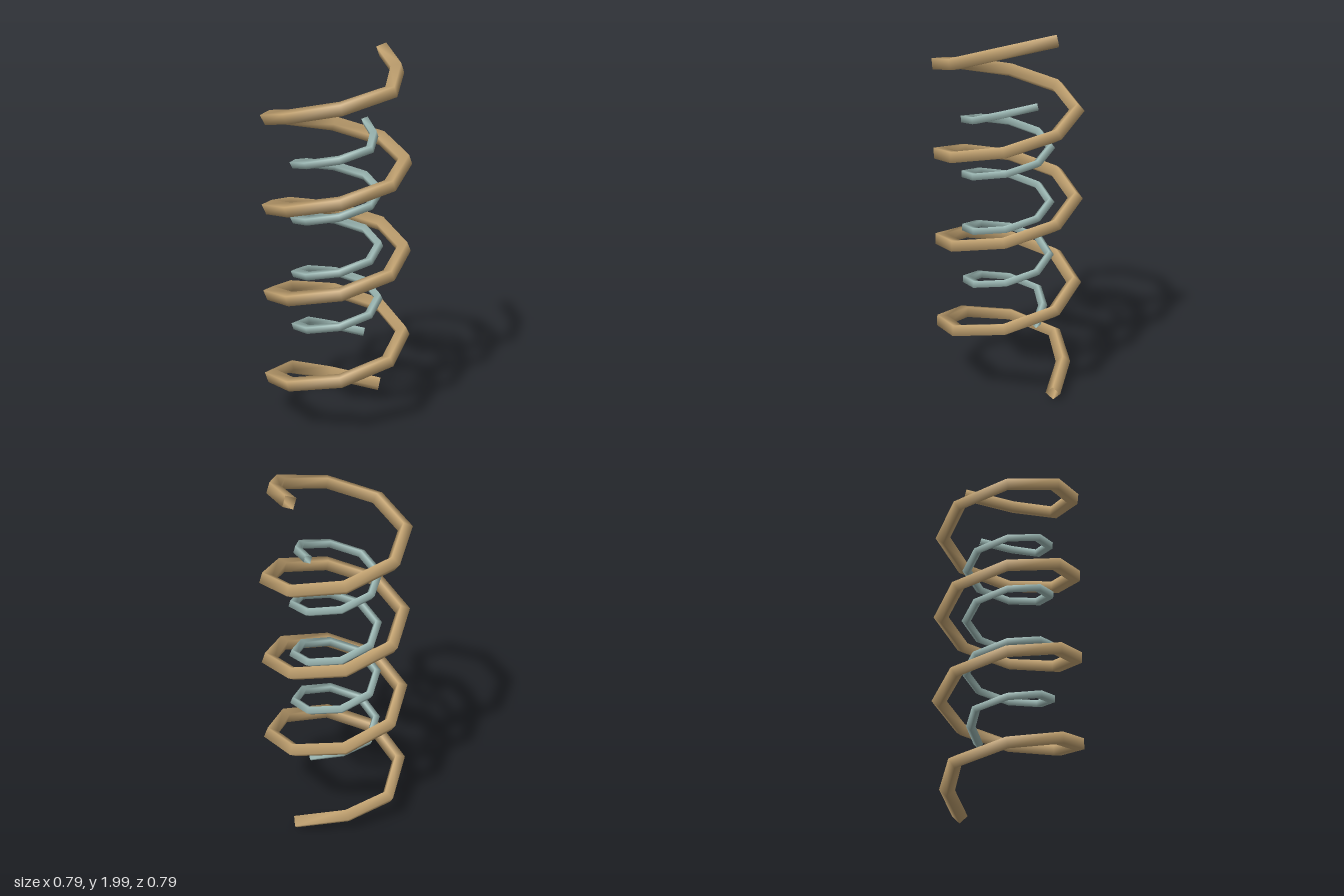
import * as THREE from 'three';

const TURNS = 4;
const SIDES = 4;

// Coil path: smooth handles through four knots per turn, two steps per span
function coilPath(radius, rise) {
  const knots = [];
  for (let i = 0; i <= TURNS * 4; i++) {
    const a = (i * Math.PI) / 2;
    knots.push(new THREE.Vector3(radius * Math.cos(a), (i * rise) / 4, -radius * Math.sin(a)));
  }
  // Tangent is the mean of both neighbouring spans; ends follow their only span
  const tangents = knots.map((k, i) => {
    const prev = knots[i - 1] || k, next = knots[i + 1] || k;
    return next.clone().sub(prev).normalize();
  });
  const path = [knots[0].clone()];
  for (let i = 0; i < knots.length - 1; i++) {
    const a = knots[i], b = knots[i + 1];
    const reach = a.distanceTo(b) / 2.5614;
    const curve = new THREE.CubicBezierCurve3(
      a, a.clone().addScaledVector(tangents[i], reach),
      b.clone().addScaledVector(tangents[i + 1], -reach), b);
    path.push(curve.getPoint(0.5), curve.getPoint(1));
  }
  return path;
}

// Open four-sided tube whose section is carried along the path with least twist
function wireGeometry(path, thickness) {
  const positions = [], index = [];
  const u = new THREE.Vector3(), v = new THREE.Vector3();
  const turn = new THREE.Quaternion();
  let last = null;
  path.forEach((p, i) => {
    const dir = new THREE.Vector3();
    if (i > 0) dir.add(p.clone().sub(path[i - 1]).normalize());
    if (i < path.length - 1) dir.add(path[i + 1].clone().sub(p).normalize());
    dir.normalize();
    if (last) u.applyQuaternion(turn.setFromUnitVectors(last, dir));
    else u.set(0, 1, 0).cross(dir).normalize();
    v.crossVectors(dir, u);
    last = dir;
    for (let j = 0; j < SIDES; j++) {
      const a = (j / SIDES) * Math.PI * 2;
      const q = p.clone()
        .addScaledVector(u, thickness * Math.cos(a))
        .addScaledVector(v, thickness * Math.sin(a));
      positions.push(q.x, q.y, q.z);
      if (i > 0) {
        const k = (j + 1) % SIDES, r0 = (i - 1) * SIDES, r1 = i * SIDES;
        index.push(r0 + j, r0 + k, r1 + j, r0 + k, r1 + k, r1 + j);
      }
    }
  });
  const geometry = new THREE.BufferGeometry();
  geometry.setAttribute('position', new THREE.Float32BufferAttribute(positions, 3));
  geometry.setIndex(index);
  geometry.computeVertexNormals();
  return geometry;
}

export function createModel() {
  const group = new THREE.Group();
  group.name = 'doubleCoilSpring';

  const tan = new THREE.MeshStandardMaterial({ color: 0xc4a472, side: THREE.DoubleSide });
  tan.name = 'tan';
  const paleTeal = new THREE.MeshStandardMaterial({ color: 0x9ebab6, side: THREE.DoubleSide });
  paleTeal.name = 'paleTeal';

  // Large outer coil, and a smaller coil halfway up inside it
  const coils = [
    ['outerCoil', 0.36, 0.48, 0.04, 0.04, tan],
    ['innerCoil', 0.225, 0.3, 0.025, 0.4, paleTeal],
  ];
  for (const [name, radius, rise, thickness, base, material] of coils) {
    const mesh = new THREE.Mesh(wireGeometry(coilPath(radius, rise), thickness), material);
    mesh.name = name;
    mesh.position.y = base;
    group.add(mesh);
  }

  // Centre the coils and stand them on the ground
  const box = new THREE.Box3().setFromObject(group, true);
  const centre = box.getCenter(new THREE.Vector3());
  for (const mesh of group.children) {
    mesh.position.x -= centre.x;
    mesh.position.y -= box.min.y;
    mesh.position.z -= centre.z;
  }
  return group;
}
